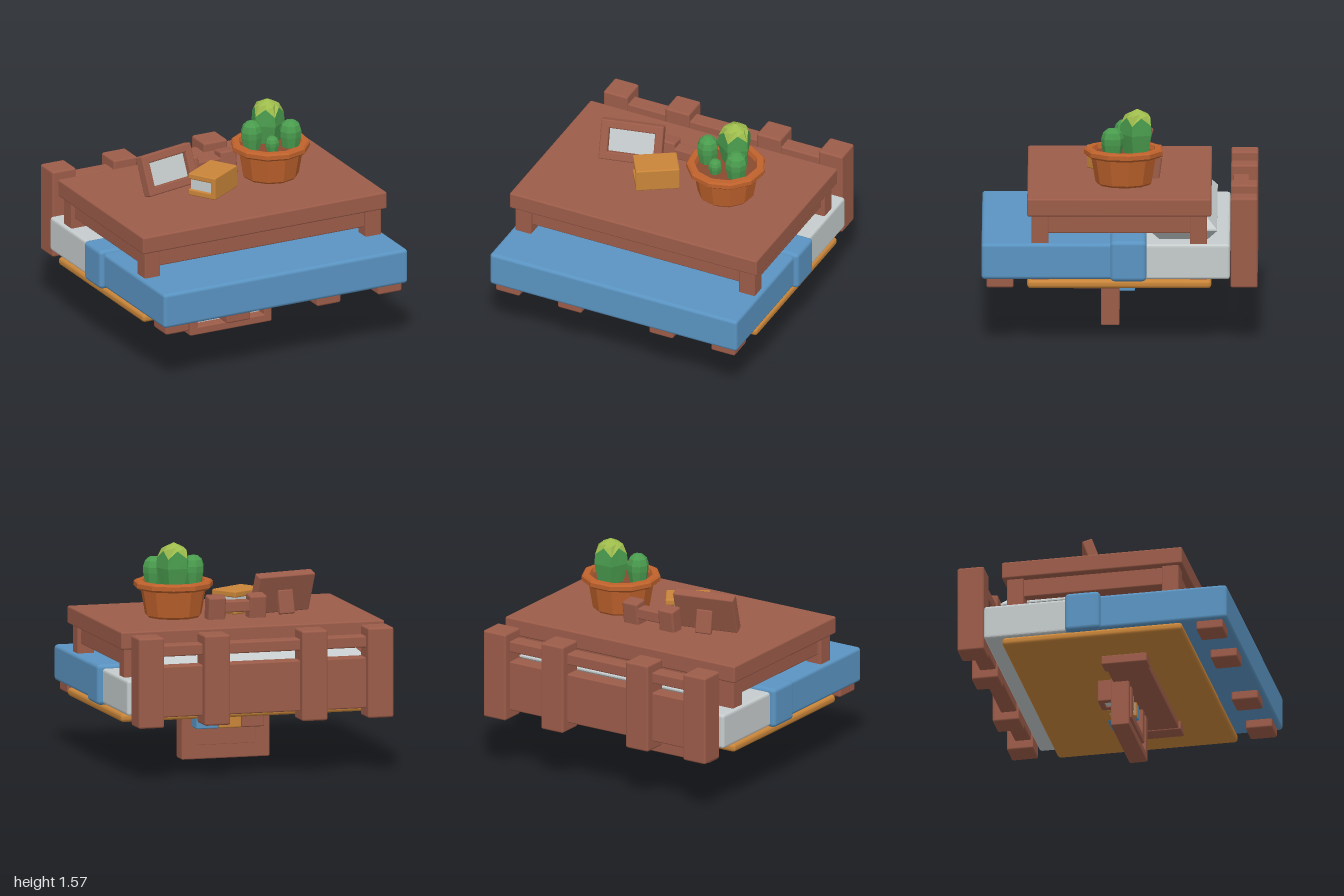
import * as THREE from 'three';
import { RoundedBoxGeometry } from 'three/addons/geometries/RoundedBoxGeometry.js';

const mat = (name, color, extra = {}) => {
  const m = new THREE.MeshStandardMaterial({ color, ...extra });
  m.name = name;
  return m;
};

export function createModel() {
  const wood = mat('wood', 0x9c5c49);
  const blue = mat('blanketBlue', 0x5a94c2);
  const white = mat('linen', 0xc6cccd, { flatShading: true });
  const ochre = mat('ochre', 0xc98539);
  const clay = mat('clay', 0xbf622c, { flatShading: true });
  const soil = mat('soil', 0x8a4a30, { flatShading: true });
  const green = mat('cactusGreen', 0x4a9c4e, { flatShading: true });
  const lime = mat('cactusLime', 0x9dbb4c, { flatShading: true });

  const root = new THREE.Group();
  const group = (name, parent = root) => {
    const g = new THREE.Group();
    g.name = name;
    parent.add(g);
    return g;
  };
  const add = (parent, name, geo, m) => {
    const mesh = new THREE.Mesh(geo, m);
    mesh.name = name;
    parent.add(mesh);
    return mesh;
  };
  // Soft-edged box given by its extents
  const box = (parent, name, m, x0, x1, y0, y1, z0, z1, r = 0.01) => {
    const size = [x1 - x0, y1 - y0, z1 - z0];
    const geo = new RoundedBoxGeometry(...size, 2, Math.min(r, Math.min(...size) * 0.45));
    const mesh = add(parent, name, geo, m);
    mesh.position.set((x0 + x1) / 2, (y0 + y1) / 2, (z0 + z1) / 2);
    return mesh;
  };

  // Bed
  const bed = group('bed');
  box(bed, 'mattress', white, -0.96, 0.96, 0.46, 0.71, -0.775, 0, 0.02);
  box(bed, 'blanket', blue, -0.965, 0.965, 0.46, 0.715, -0.1, 0.965, 0.025);
  box(bed, 'blanketFold', blue, -1, 1, 0.45, 0.738, -0.19, 0.062, 0.03);
  for (const x of [-0.84, -0.357, 0.357, 0.84]) {
    box(bed, 'headboardPost', wood, x - 0.094, x + 0.094, 0.395, 1.035, -0.97, -0.78, 0.015);
    box(bed, 'foot', wood, x - 0.094, x + 0.094, 0.395, 0.48, 0.74, 0.93, 0.015);
  }
  box(bed, 'headboardRail', wood, -0.82, 0.82, 0.89, 0.97, -0.91, -0.795);
  box(bed, 'headboardPanel', wood, -0.82, 0.82, 0.46, 0.82, -0.91, -0.795);

  // Pillow: flat plate with wide bevels
  const ps = new THREE.Shape();
  ps.moveTo(-0.74, -0.16); ps.lineTo(0.74, -0.16); ps.lineTo(0.74, 0.16); ps.lineTo(-0.74, 0.16);
  ps.closePath();
  const pillowGeo = new THREE.ExtrudeGeometry(ps, {
    depth: 0.01, bevelEnabled: true, bevelSegments: 1, bevelSize: 0.075, bevelThickness: 0.08,
  });
  pillowGeo.translate(0, 0, -0.005).rotateX(-Math.PI / 2);
  add(bed, 'pillow', pillowGeo, white).position.set(0, 0.783, -0.45);

  // Table
  const table = group('table');
  box(table, 'tableTop', wood, -0.965, 0.965, 0.91, 1.035, -0.645, 0.645, 0.012);
  for (const s of [-1, 1]) {
    for (const t of [-1, 1])
      box(table, 'tableLeg', wood, s * 0.873 - 0.062, s * 0.873 + 0.062, 0.4, 0.92, t * 0.555 - 0.06, t * 0.555 + 0.06);
    box(table, 'longApron', wood, -0.83, 0.83, 0.78, 0.92, s * 0.555 - 0.035, s * 0.555 + 0.035);
    box(table, 'sideApron', wood, s * 0.873 - 0.035, s * 0.873 + 0.035, 0.78, 0.92, -0.52, 0.52);
  }

  // Rug and the bench sitting under the table
  box(root, 'rug', ochre, -0.965, 0.965, 0.395, 0.455, -0.645, 0.645, 0.025);
  const bench = group('bench');
  box(bench, 'benchSeat', wood, -0.55, 0.55, 0.7, 0.78, 0, 0.285);
  box(bench, 'benchStretcher', wood, -0.27, 0.27, 0.7, 0.77, -0.2, 0.02);

  // Chair back rising through the table top
  const chair = group('chair');
  for (const s of [-1, 1]) {
    const post = box(chair, 'chairPost', wood, s * 0.15 - 0.063, s * 0.15 + 0.063, 0.9, 1.2, -0.282, -0.172, 0.015);
    post.rotation.x = -0.13;
  }
  box(chair, 'chairRail', wood, -0.12, 0.12, 1.08, 1.16, -0.28, -0.19);

  // Low shelf with blocks at its ends
  const shelf = group('shelf');
  box(shelf, 'shelfBoard', wood, -0.53, 0.53, 0.34, 0.4, 0.015, 0.31);
  for (const s of [-1, 1])
    box(shelf, 'shelfEnd', wood, s * 0.58 - 0.063, s * 0.58 + 0.063, 0.33, 0.4, 0, 0.325);

  // Picture frame: four bars, a sheet and a back plate, centred on its origin
  const frame = (parent, name, w, h, d, b) => {
    const g = group(name, parent);
    for (const s of [-1, 1]) {
      const x = s * (w - b) / 2, y = s * (h - b) / 2;
      box(g, 'frameSide', wood, x - b / 2, x + b / 2, -h / 2, h / 2, -d / 2, d / 2);
      box(g, 'frameBar', wood, -w / 2 + b / 2, w / 2 - b / 2, y - b / 2, y + b / 2, -d / 2, d / 2);
    }
    box(g, 'frameBack', wood, -w / 2 + b / 2, w / 2 - b / 2, -h / 2 + b / 2, h / 2 - b / 2, -d / 2, -d / 2 + 0.02);
    const sheet = box(g, 'frameSheet', white, -w / 2 + b / 2, w / 2 - b / 2, -h / 2 + b / 2, h / 2 - b / 2, 0, 0.008, 0.001);
    sheet.position.z = -d * 0.1;
    return g;
  };
  frame(root, 'largeFrame', 0.645, 0.64, 0.13, 0.06).position.set(0, 0.325, 0.065);
  frame(root, 'innerFrame', 0.445, 0.45, 0.13, 0.058).position.set(0, 0.325, 0.064);

  // Leaning frame on the table
  const small = frame(root, 'tableFrame', 0.45, 0.29, 0.075, 0.06);
  small.rotation.set(-0.35, 0.22, 0, 'YXZ');
  small.position.set(-0.378, 1.185, -0.11);
  const stand = box(small, 'frameStand', wood, -0.06, 0.06, -0.13, 0.04, -0.07, -0.03);
  stand.rotation.x = 0.55;
  stand.position.z = -0.07;

  // Book: two covers, a spine and pages; spine along x, facing +z
  const book = (parent, name, m) => {
    const g = group(name, parent);
    for (const s of [-1, 1])
      box(g, 'bookCover', m, -0.155, 0.155, s * 0.06 - 0.022, s * 0.06 + 0.022, -0.11, 0.11);
    box(g, 'bookSpine', m, -0.155, 0.155, -0.08, 0.08, 0.07, 0.11);
    box(g, 'bookPages', white, -0.14, 0.14, -0.045, 0.045, -0.095, 0.08, 0.002);
    return g;
  };
  const flat = book(root, 'tableBook', ochre);
  flat.position.set(-0.107, 1.117, 0.058);
  flat.rotation.y = 0.56;
  // Upright row, spines to the back
  [[0.167, blue], [0, ochre], [-0.167, wood]].forEach(([x, m]) => {
    const b = book(root, 'uprightBook', m);
    b.position.set(x, 0.39, 0);
    b.rotation.set(0, Math.PI, Math.PI / 2);
  });

  // Flower pot
  const plant = group('pottedCactus');
  plant.position.set(0.395, 1.035, -0.032);
  const lathe = (pts, n) => new THREE.LatheGeometry(pts.map(p => new THREE.Vector2(...p)), n);
  add(plant, 'pot', lathe([[0, 0], [0.185, 0], [0.2, 0.015], [0.232, 0.2], [0.262, 0.2], [0.28, 0.215],
    [0.28, 0.245], [0.268, 0.257], [0.225, 0.257], [0.205, 0.2]], 11), clay);
  add(plant, 'soil', new THREE.CylinderGeometry(0.213, 0.2, 0.03, 11), soil).position.y = 0.21;

  // Small round cacti: x, z, radius, top
  [[-0.145, -0.005, 0.077, 0.43], [0.118, 0.08, 0.08, 0.42], [-0.037, 0.1, 0.05, 0.33]].forEach(([x, z, r, top]) => {
    const h = top - 0.21;
    add(plant, 'smallCactus', lathe([[r * 0.75, 0], [r * 0.98, h * 0.45], [r, h * 0.65], [r * 0.82, h * 0.85],
      [r * 0.45, h * 0.97], [0, h]], 8), green).position.set(x, 0.21, z);
  });

  // Ribbed cactus from rings of ten points; each ring: rib radius, groove radius, rib height, groove height
  const ribbed = rings => {
    const n = 10, pos = [], idx = [];
    rings.forEach(([r0, r1, y0, y1]) => {
      for (let i = 0; i < n; i++) {
        const a = i / n * Math.PI * 2, r = i % 2 ? r1 : r0;
        pos.push(r * Math.sin(a), i % 2 ? y1 : y0, r * Math.cos(a));
      }
    });
    for (let k = 0; k < rings.length - 1; k++)
      for (let i = 0; i < n; i++) {
        const a = k * n + i, b = k * n + (i + 1) % n;
        idx.push(a, b, b + n, a, b + n, a + n);
      }
    const g = new THREE.BufferGeometry();
    g.setAttribute('position', new THREE.Float32BufferAttribute(pos, 3));
    g.setIndex(idx);
    g.computeVertexNormals();
    return g;
  };
  const seam = [0.118, 0.09, 0.22, 0.275];
  const tall = group('tallCactus', plant);
  tall.position.set(0.025, 0.21, -0.093);
  add(tall, 'cactusBody', ribbed([[0.09, 0.075, 0, 0], [0.123, 0.1, 0.15, 0.15], seam]), green);
  add(tall, 'cactusCap', ribbed([seam, [0.085, 0.06, 0.288, 0.298], [0.001, 0.001, 0.328, 0.328]]), lime);

  return root;
}
